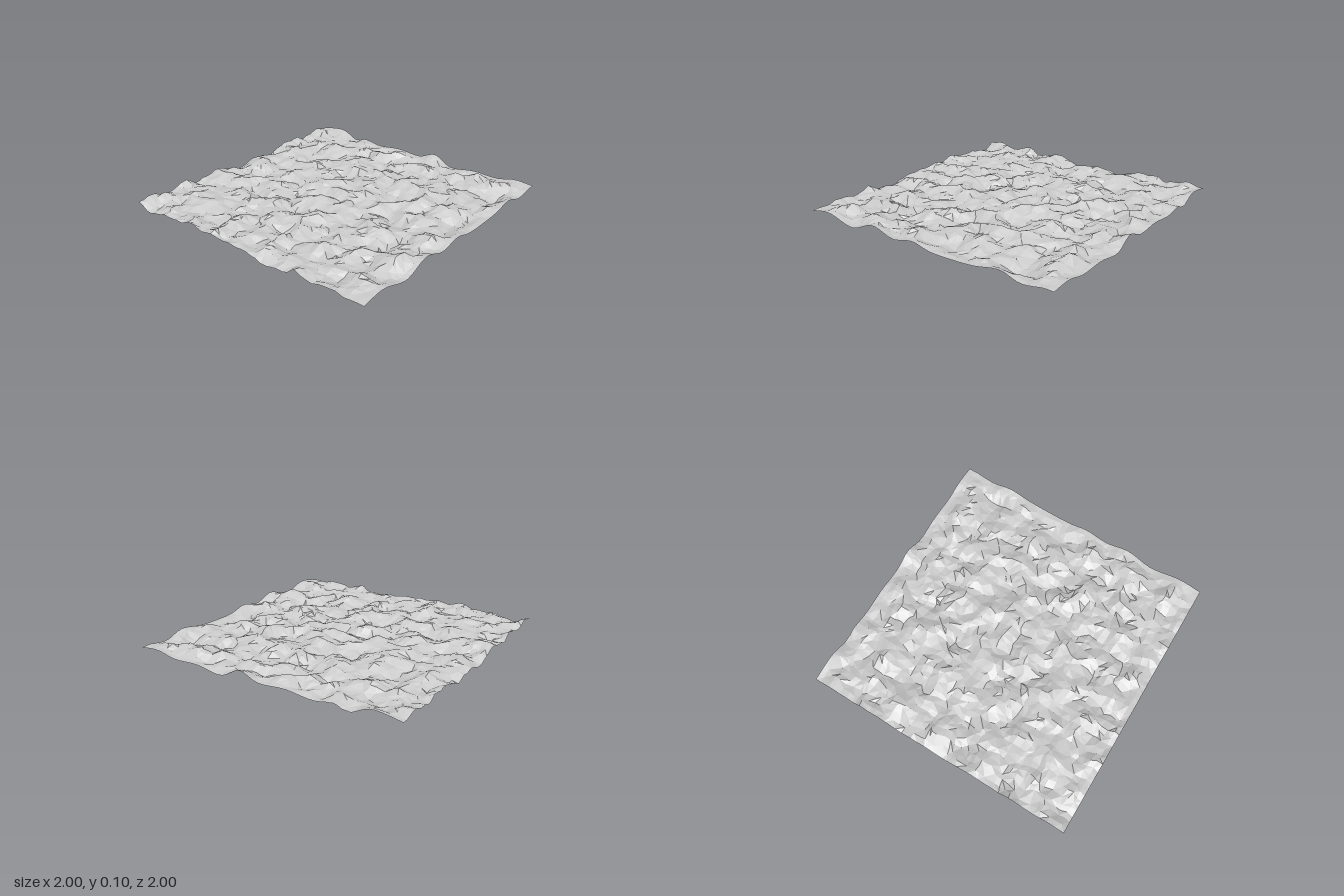
import * as THREE from 'three';

const SIZE = 2, SEGMENTS = 48, MEAN = 0.057, HALF_RANGE = 0.053;
const { lerp, smoothstep } = THREE.MathUtils;

// repeatable gradient angle for a lattice corner
function cornerAngle(i, j, seed) {
  let h = Math.imul(i + 101, 374761393) ^ Math.imul(j + 57, 668265263) ^ Math.imul(seed, 1274126177);
  h = Math.imul(h ^ (h >>> 13), 1103515245);
  h ^= h >>> 16;
  return ((h >>> 0) / 4294967296) * Math.PI * 2;
}

// smooth gradient noise
function noise(x, z, seed) {
  const i = Math.floor(x), j = Math.floor(z), u = x - i, v = z - j;
  const fade = t => t * t * t * (t * (t * 6 - 15) + 10);
  const dot = (a, b) => {
    const g = cornerAngle(i + a, j + b, seed);
    return Math.cos(g) * (u - a) + Math.sin(g) * (v - b);
  };
  return lerp(lerp(dot(0, 0), dot(1, 0), fade(u)), lerp(dot(0, 1), dot(1, 1), fade(u)), fade(v));
}

// bumps with finer ripples on top
const relief = (x, z) => noise(x * 5.3, z * 5.3, 1) + 0.55 * noise(x * 10.6, z * 10.6, 2);

// smooth outline through [position, height] points
const outline = points => {
  const curve = new THREE.SplineCurve(points.map(p => new THREE.Vector2(...p)));
  const samples = curve.getPoints(200);
  return t => {
    const k = Math.max(1, samples.findIndex(s => s.x >= t - 1e-6));
    const a = samples[k - 1], b = samples[k];
    return lerp(a.y, b.y, (t - a.x) / (b.x - a.x));
  };
};
const frontEdge = outline([[-1, 0.055], [-0.82, 0.08], [-0.6, 0.03], [-0.4, 0.095], [-0.22, 0.05], [-0.05, 0.08],
  [0.1, 0.05], [0.3, 0.05], [0.45, 0.06], [0.63, 0.09], [0.78, 0.05], [0.95, 0.075], [1, 0.07]]);
const leftEdge = outline([[-1, 0.065], [-0.8, 0.09], [-0.65, 0.03], [-0.55, 0.06], [-0.4, 0.04], [-0.2, 0.06],
  [0, 0.05], [0.15, 0.1], [0.3, 0.03], [0.5, 0.055], [0.7, 0.05], [0.85, 0.08], [1, 0.07]]);

export function createModel() {
  const group = new THREE.Group();
  group.name = 'terrain';

  // square sheet, its grid lines bent sideways everywhere but at the border
  const geometry = new THREE.PlaneGeometry(SIZE, SIZE, SEGMENTS, SEGMENTS);
  geometry.rotateX(-Math.PI / 2);
  const pos = geometry.attributes.position;
  for (let k = 0; k < pos.count; k++) {
    const x = pos.getX(k), z = pos.getZ(k);
    const bend = (t, seed) => 0.05 * smoothstep(1 - Math.abs(t), 0, 0.12) * noise(x * 9, z * 9, seed);
    pos.setX(k, x + bend(x, 5));
    pos.setZ(k, z + bend(z, 6));
  }

  // raise the bumps, meeting the outlines at the front and left edges
  const heights = Array.from({ length: pos.count }, (_, k) => relief(pos.getX(k), pos.getZ(k)));
  const peak = Math.max(...heights.map(Math.abs));
  heights.forEach((h, k) => {
    const x = pos.getX(k), z = pos.getZ(k);
    let y = MEAN + (h / peak) * HALF_RANGE;
    y = lerp(frontEdge(x), y, smoothstep(1 - z, 0, 0.12));
    y = lerp(leftEdge(z), y, smoothstep(1 - x, 0, 0.12));
    pos.setY(k, y);
  });
  const lowest = Math.min(...heights.map((_, k) => pos.getY(k)));
  geometry.translate(0, -lowest, 0);

  // alternate the diagonals of neighbouring cells
  const index = [], row = SEGMENTS + 1;
  for (let j = 0; j < SEGMENTS; j++) {
    for (let i = 0; i < SEGMENTS; i++) {
      const a = j * row + i, b = a + row, c = b + 1, d = a + 1;
      index.push(...((i + j) % 2 ? [a, b, d, b, c, d] : [a, b, c, a, c, d]));
    }
  }
  geometry.setIndex(index);
  geometry.computeVertexNormals();

  const ground = new THREE.Mesh(geometry, new THREE.MeshStandardMaterial({
    color: 0xcccccc, flatShading: true, side: THREE.DoubleSide,
  }));
  ground.name = 'groundSurface';
  group.add(ground);
  return group;
}
